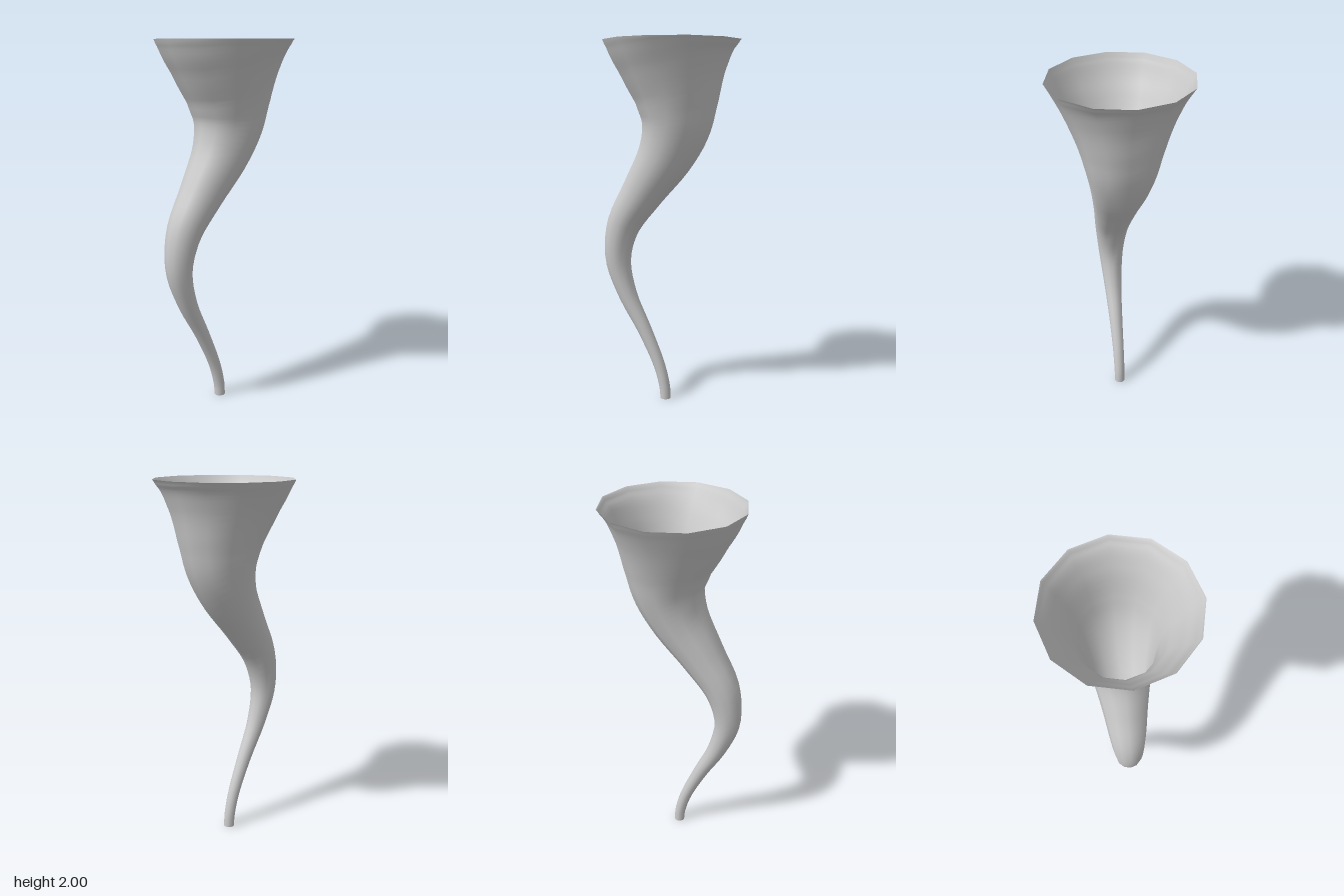
import * as THREE from 'three';

const SIDES = 12;
const RINGS = 56;

// Centre line knots: x, height, and radius of the horn at that height
const KNOTS = [
  [-0.03, 0, 0.03], [-0.036, 0.07, 0.031], [-0.07, 0.2, 0.033], [-0.157, 0.4, 0.04],
  [-0.256, 0.6, 0.053], [-0.309, 0.8, 0.073], [-0.274, 1.0, 0.096], [-0.153, 1.2, 0.122],
  [-0.025, 1.4, 0.158], [0.03, 1.55, 0.192], [0.036, 1.68, 0.228], [0.02, 1.84, 0.291],
  [0.011, 1.94, 0.341], [0.009, 2, 0.374],
];

// Open twelve-sided tube, each ring square to the centre line
function hornGeometry() {
  const path = new THREE.CatmullRomCurve3(KNOTS.map(k => new THREE.Vector3(...k)));
  const positions = [];
  const index = [];
  for (let i = 0; i <= RINGS; i++) {
    const t = i / RINGS;
    const p = path.getPoint(t);
    const d = path.getTangent(t);
    // both open ends are cut level
    const tilt = i === 0 || i === RINGS ? 0 : Math.atan2(d.x, d.y);
    for (let j = 0; j < SIDES; j++) {
      const a = (j / SIDES) * Math.PI * 2;
      const u = p.z * Math.cos(a);
      positions.push(p.x + u * Math.cos(tilt), p.y - u * Math.sin(tilt), p.z * Math.sin(a));
      if (i < RINGS) {
        const k = (j + 1) % SIDES;
        const a0 = i * SIDES + j, b0 = i * SIDES + k;
        index.push(a0, a0 + SIDES, b0, b0, a0 + SIDES, b0 + SIDES);
      }
    }
  }
  const g = new THREE.BufferGeometry();
  g.setAttribute('position', new THREE.Float32BufferAttribute(positions, 3));
  g.setIndex(index);
  g.computeVertexNormals();
  return g;
}

export function createModel() {
  const group = new THREE.Group();
  group.name = 'curvedHorn';
  const material = new THREE.MeshStandardMaterial({ color: 0xcccccc, side: THREE.DoubleSide });
  const horn = new THREE.Mesh(hornGeometry(), material);
  horn.name = 'hornWall';
  group.add(horn);
  return group;
}
